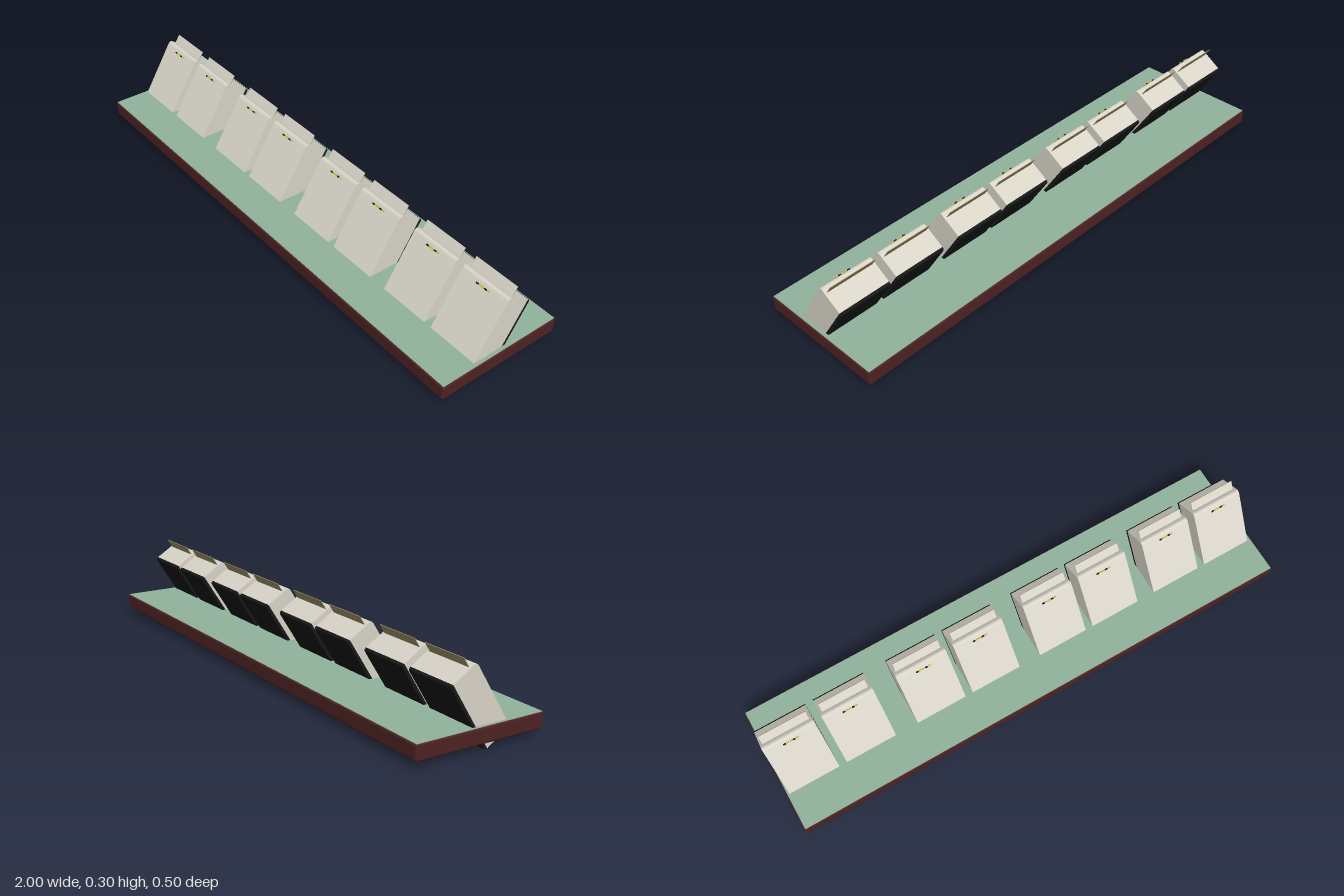
import * as THREE from 'three';
import { RoundedBoxGeometry } from 'three/addons/geometries/RoundedBoxGeometry.js';

const mat = (name, color) => {
  const m = new THREE.MeshStandardMaterial({ color });
  m.name = name;
  return m;
};

export function createModel() {
  const cream = mat('cream', 0xdad6ca);
  const black = mat('black', 0x171818);
  const maroon = mat('maroon', 0x4e2223);
  const green = mat('green', 0x92b39d);
  const khaki = mat('khaki', 0xa6986a);
  const yellow = mat('yellow', 0xd8bd3c);

  const model = new THREE.Group();
  const add = (parent, name, geo, material, x = 0, y = 0, z = 0) => {
    const mesh = new THREE.Mesh(geo, material);
    mesh.name = name;
    mesh.position.set(x, y, z);
    parent.add(mesh);
    return mesh;
  };

  // Board with a thin green top sheet
  add(model, 'board', new RoundedBoxGeometry(2, 0.057, 0.5, 3, 0.008), maroon, 0, 0.0535, 0);
  add(model, 'boardTop', new THREE.BoxGeometry(1.992, 0.002, 0.492), green, 0, 0.0817, 0);

  // Side profile from z0 (back) to z1 (front), extruded across the width;
  // the corners are rounded by rb at the back and rf at the front
  const slab = (z0, z1, len, rb, rf, width) => {
    const h = len / 2, s = new THREE.Shape();
    s.moveTo(z0 + rb, -h);
    s.lineTo(z1 - rf, -h);
    if (rf) s.quadraticCurveTo(z1, -h, z1, -h + rf);
    s.lineTo(z1, h - rf);
    if (rf) s.quadraticCurveTo(z1, h, z1 - rf, h);
    s.lineTo(z0 + rb, h);
    if (rb) s.quadraticCurveTo(z0, h, z0, h - rb);
    s.lineTo(z0, -h + rb);
    if (rb) s.quadraticCurveTo(z0, -h, z0 + rb, -h);
    return new THREE.ExtrudeGeometry(s, { depth: width, bevelEnabled: false, curveSegments: 5 })
      .translate(0, 0, -width / 2).rotateY(-Math.PI / 2);
  };
  const bodyGeo = slab(-0.046, 0.057, 0.27, 0, 0.014, 0.2);
  const backGeo = slab(-0.057, -0.046, 0.27, 0.01, 0, 0.2);
  const tabGeo = new THREE.BoxGeometry(0.18, 0.05, 0.002);
  const tabFaceGeo = new THREE.PlaneGeometry(0.18, 0.05);
  const markGeo = new THREE.BoxGeometry(0.01, 0.005, 0.003);

  // Four pairs of leaning cases
  for (const pair of [-0.773, -0.253, 0.265, 0.768]) {
    for (const side of [-1, 1]) {
      const box = new THREE.Group();
      box.name = 'leaningCase';
      box.position.set(pair + side * 0.115, 0.1425, 0);
      box.rotation.x = -0.56;
      model.add(box);
      add(box, 'caseBody', bodyGeo, cream);
      add(box, 'caseBack', backGeo, black);
      // Card standing out of the top
      add(box, 'card', tabGeo, khaki, 0, 0.147, 0.031);
      add(box, 'cardFront', tabFaceGeo, cream, 0, 0.147, 0.0325);
      // Row of small marks in front of the upper edge
      [black, yellow, yellow, black, yellow].forEach((m, i) =>
        add(box, 'mark', markGeo, m, (i - 2) * 0.012, 0.111, 0.0615));
    }
  }
  return model;
}
